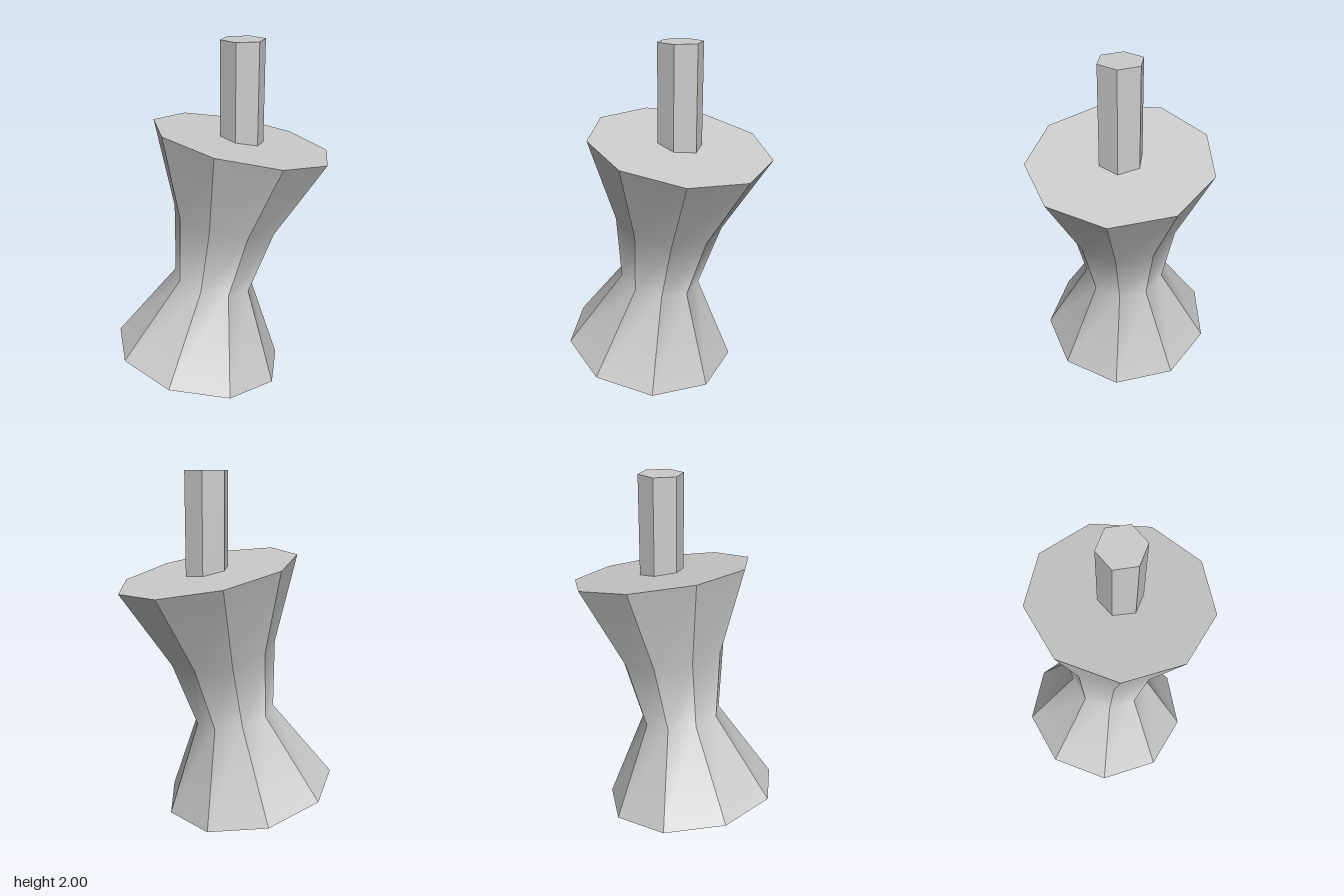
import * as THREE from 'three';
import { mergeGeometries } from 'three/addons/utils/BufferGeometryUtils.js';

const SIDES = 9;
// [radius, height along the leaning axis], bottom to top
const RINGS = [[0.513, 0], [0.236, 0.503], [0.31, 0.9], [0.513, 1.376]];

// One side of the body: smooth up the profile, sharp against its neighbours
function bodySide(index) {
  const side = new THREE.PlaneGeometry(1, 1, 1, RINGS.length - 1);
  const pos = side.attributes.position;
  const uv = side.attributes.uv;
  for (let i = 0; i < pos.count; i++) {
    const [r, y] = RINGS[Math.round(uv.getY(i) * (RINGS.length - 1))];
    const a = (index - uv.getX(i)) * 2 * Math.PI / SIDES;
    pos.setXYZ(i, r * Math.cos(a), y, r * Math.sin(a));
  }
  side.computeVertexNormals();
  return side;
}

// Flat end of the body, facing up (1) or down (-1)
function bodyCap([radius, height], facing) {
  return new THREE.CircleGeometry(radius, SIDES)
    .rotateX(-facing * Math.PI / 2)
    .translate(0, height, 0);
}

export function createModel() {
  const group = new THREE.Group();
  const material = new THREE.MeshStandardMaterial({ color: 0xcccccc });

  // Leaning waisted body
  const parts = [bodyCap(RINGS[0], -1), bodyCap(RINGS[RINGS.length - 1], 1)];
  for (let i = 0; i < SIDES; i++) parts.push(bodySide(i));
  const body = new THREE.Mesh(mergeGeometries(parts), material);
  body.name = 'body';
  body.position.set(-0.149, 0.103, 0);
  body.rotation.z = -0.194;
  group.add(body);

  // Upright hexagonal post, sunk slightly into the sloping top
  const bottom = 1.4;
  const postMaterial = material.clone();
  postMaterial.flatShading = true;
  const post = new THREE.Mesh(
    new THREE.CylinderGeometry(0.125, 0.125, 2 - bottom, 6).rotateY(Math.PI / 6),
    postMaterial
  );
  post.name = 'post';
  post.position.set(0.113, (2 + bottom) / 2, 0);
  group.add(post);

  return group;
}
